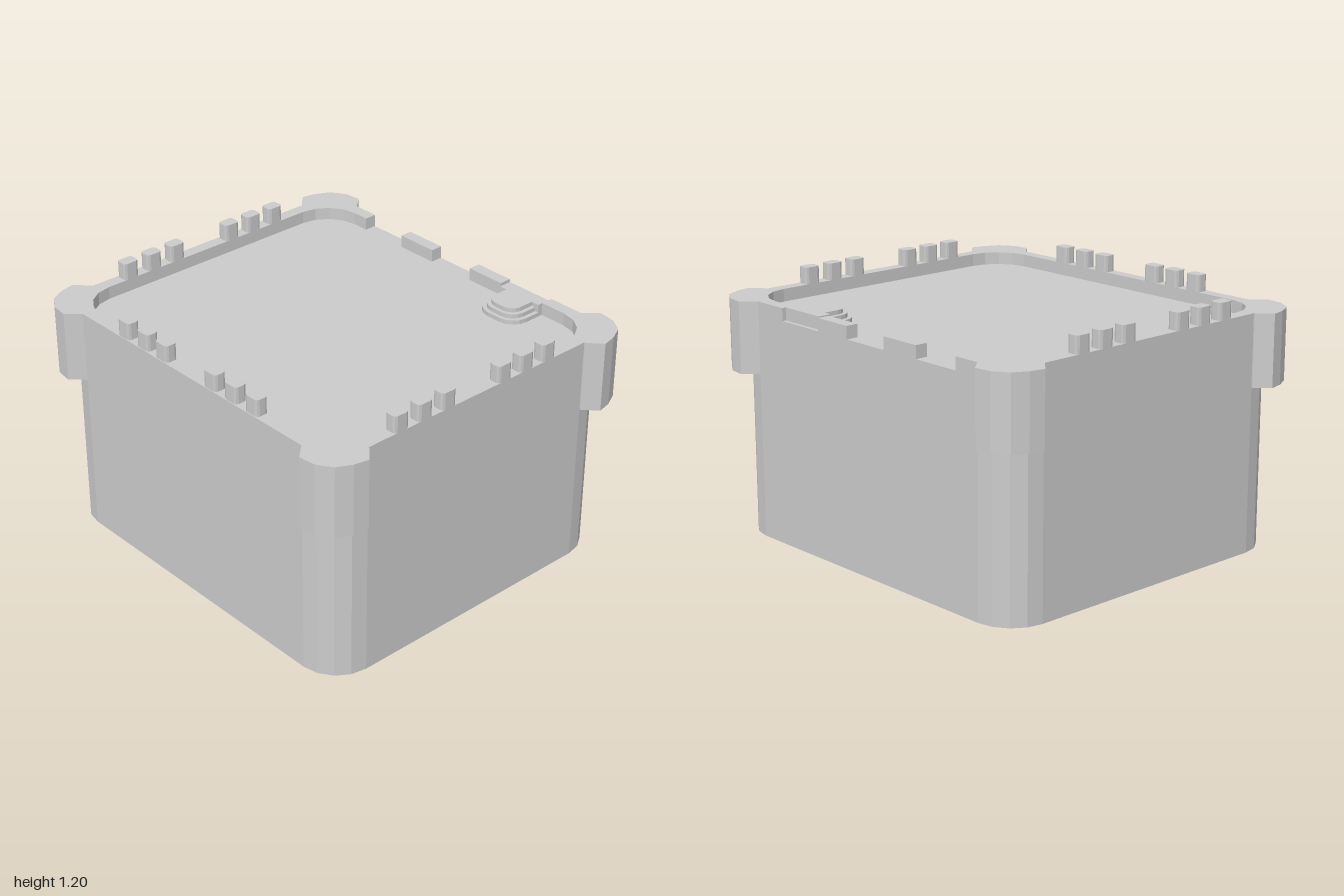
import * as THREE from 'three';

const material = new THREE.MeshStandardMaterial({ color: 0xcccccc, flatShading: true, side: THREE.DoubleSide });
const FLOOR = 1.06, RIM = 1.12, HX = 0.93, HZ = 0.83, R = 0.19;

// Quarter arc of a rounded corner in the +x +z quadrant, running from the +x side to the +z side
function cornerArc(hx, hz, r, segments = 4) {
  return Array.from({ length: segments + 1 }, (_, i) => {
    const a = (i / segments) * Math.PI / 2;
    return [hx - r + r * Math.cos(a), hz - r + r * Math.sin(a)];
  });
}

const flip = (points, sx, sz) => points.map(([x, z]) => [x * sx, z * sz]);

// Rounded rectangle as a loop that starts at the back edge on the right and passes the front
function roundedLoop(hx, hz, r, segments) {
  const arc = cornerArc(hx, hz, r, segments), back = [...arc].reverse();
  return [...flip(back, 1, -1), ...arc, ...flip(back, -1, 1), ...flip(arc, -1, -1)];
}

const toVectors = points => points.map(([x, z]) => new THREE.Vector2(x, -z));

// Upright prism from an outline of [x, z] points
function prism(name, points, y0, y1, hole) {
  const shape = new THREE.Shape(toVectors(points));
  if (hole) shape.holes.push(new THREE.Path(toVectors(hole)));
  const geometry = new THREE.ExtrudeGeometry(shape, { depth: y1 - y0, bevelEnabled: false });
  geometry.rotateX(-Math.PI / 2).translate(0, y0, 0);
  const mesh = new THREE.Mesh(geometry, material);
  mesh.name = name;
  return mesh;
}

export function createModel() {
  const model = new THREE.Group();
  model.name = 'openBottomHousing';
  const body = roundedLoop(HX, HZ, R);

  // Thin side walls, open underneath, closed by a recessed top panel
  model.add(prism('sideWalls', body, 0, FLOOR - 0.01, roundedLoop(HX - 0.008, HZ - 0.008, R - 0.008)));
  model.add(prism('topPanel', body, FLOOR - 0.01, FLOOR));

  // Raised rim, interrupted along the back edge
  const inner = roundedLoop(0.87, 0.77, 0.18).reverse();
  model.add(prism('rim', [
    [0.56, -HZ], ...body, [-0.61, -HZ], [-0.61, -0.77], ...inner, [0.56, -0.77],
  ], FLOOR, RIM));

  // Flared corner guards that wrap the upper corners
  const guard = [[0.74, 0.83], [0.8, 0.895], [0.88, 0.885], [0.95, 0.84], [0.985, 0.77], [1, 0.7], [0.935, 0.64]];
  const guardOutline = [...guard, ...cornerArc(HX, HZ, R)];
  for (const sx of [-1, 1]) for (const sz of [-1, 1]) {
    model.add(prism('cornerGuard', flip(guardOutline, sx, sz), 0.78, RIM));
  }

  // Rows of small teeth on the front and both sides
  function tooth(x, z, w, d) {
    const mesh = prism('tooth', roundedLoop(w / 2, d / 2, 0.015, 2), RIM, 1.2);
    mesh.position.set(x, 0, z);
    model.add(mesh);
  }
  for (const c of [-0.445, -0.31, -0.18, 0.15, 0.285, 0.42]) tooth(c, 0.796, 0.08, 0.06);
  for (const c of [-0.415, -0.28, -0.145, 0.185, 0.32, 0.455]) {
    for (const side of [-1, 1]) tooth(side * 0.9, c, 0.06, 0.08);
  }

  // Two blocks on the lowered back edge
  for (const [x0, x1] of [[-0.36, -0.15], [0.1, 0.3]]) {
    model.add(prism('backBlock', [[x0, -HZ], [x1, -HZ], [x1, -0.77], [x0, -0.77]], FLOOR, RIM));
  }

  // Rounded tab at the back, stepped towards its top
  const tab = new THREE.Group();
  tab.name = 'backTab';
  for (let i = 0; i < 3; i++) {
    const w = 0.12 - i * 0.02, front = -0.58 - i * 0.018;
    const arc = cornerArc(w, 0, 0.085 - i * 0.015);
    const right = arc.map(([x, z]) => [0.44 + x, front + z]);
    const left = arc.map(([x, z]) => [0.44 - x, front + z]).reverse();
    tab.add(prism('tabStep', [[0.44 + w, -0.745], ...right, ...left, [0.44 - w, -0.745]],
      FLOOR, FLOOR + 0.02 * (i + 1)));
  }
  tab.add(prism('tabBase', [[0.32, -0.81], [0.56, -0.81], [0.56, -0.745], [0.32, -0.745]], FLOOR, RIM));
  model.add(tab);

  return model;
}
